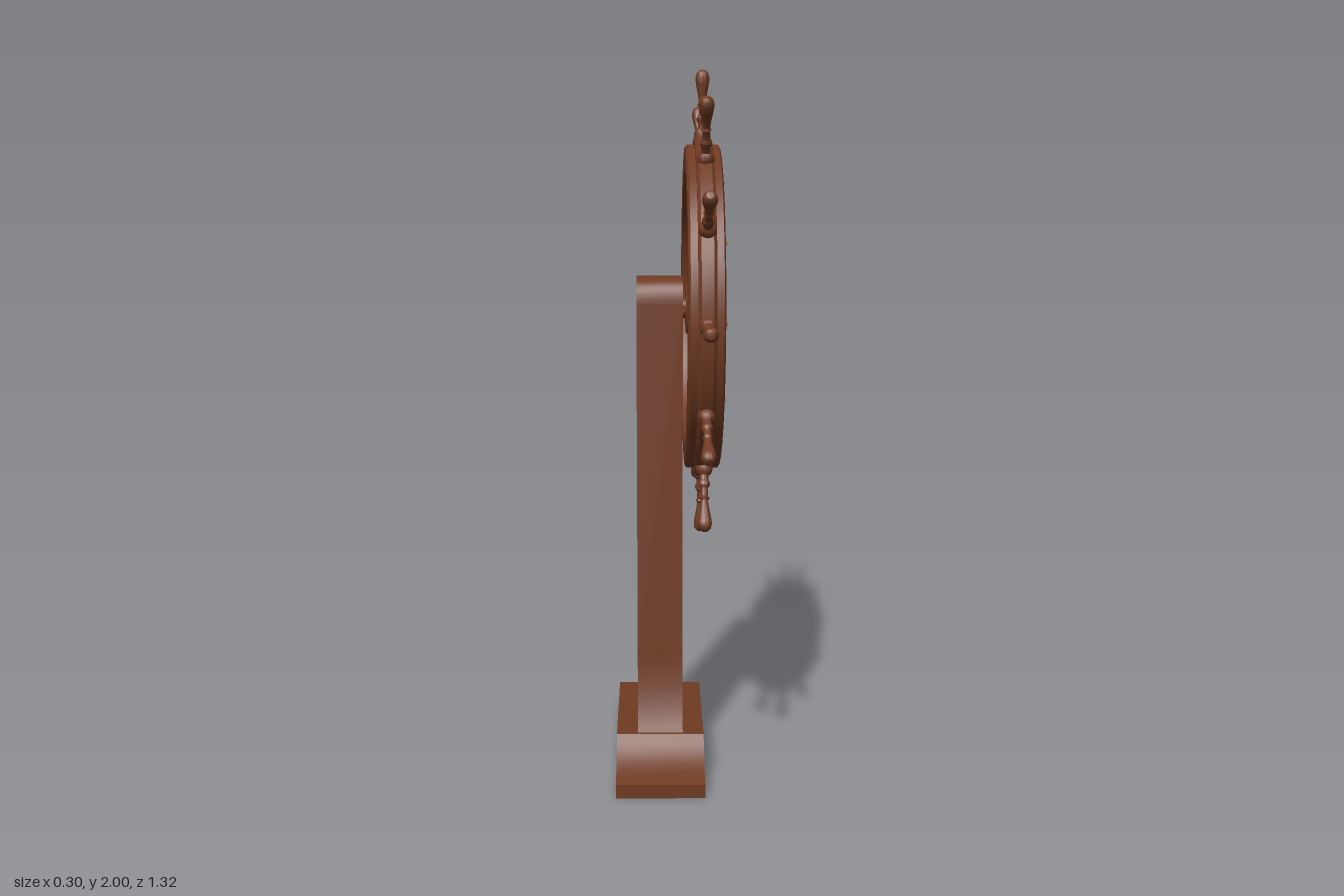
import * as THREE from 'three';
import { toCreasedNormals } from 'three/addons/utils/BufferGeometryUtils.js';

const wood = new THREE.MeshStandardMaterial({ color: 0x6f3a22, side: THREE.DoubleSide });
wood.name = 'wood';
const brass = new THREE.MeshStandardMaterial({ color: 0xb0903c });
brass.name = 'brass';

const SPOKES = 12;

function add(parent, name, geometry, material = wood) {
  const mesh = new THREE.Mesh(geometry, material);
  mesh.name = name;
  parent.add(mesh);
  return mesh;
}

// Turned part: [radius, height] pairs spun around y
function turned(pairs, segments) {
  const points = pairs.map(([r, h]) => new THREE.Vector2(r, h));
  return toCreasedNormals(new THREE.LatheGeometry(points, segments), 0.7);
}

// Turned part whose axis lies along x
function turnedX(pairs, segments) {
  return turned(pairs, segments).rotateZ(-Math.PI / 2);
}

// Side profile in the z-y plane, extruded from x0 to x1
function slab(shape, x0, x1) {
  const g = new THREE.ExtrudeGeometry(shape, { depth: x1 - x0, bevelEnabled: false, curveSegments: 10 });
  g.rotateY(Math.PI / 2).translate(x0, 0, 0);
  return toCreasedNormals(g, 0.5);
}

// Foot with concave shoulders
function footShape() {
  const s = new THREE.Shape();
  s.moveTo(-0.34, 0);
  s.lineTo(0.34, 0);
  s.lineTo(0.34, 0.04);
  s.quadraticCurveTo(0.245, 0.06, 0.2, 0.13);
  s.lineTo(-0.2, 0.13);
  s.quadraticCurveTo(-0.245, 0.06, -0.34, 0.04);
  s.closePath();
  return s;
}

// Tapered post with flared bottom and rounded top
function postShape() {
  const s = new THREE.Shape();
  s.moveTo(-0.19, 0.13);
  s.lineTo(0.19, 0.13);
  s.quadraticCurveTo(0.135, 0.22, 0.127, 0.36);
  s.lineTo(0.09, 1.36);
  s.quadraticCurveTo(0.086, 1.43, 0.025, 1.43);
  s.lineTo(-0.025, 1.43);
  s.quadraticCurveTo(-0.086, 1.43, -0.09, 1.36);
  s.lineTo(-0.127, 0.36);
  s.quadraticCurveTo(-0.135, 0.22, -0.19, 0.13);
  return s;
}

export function createModel() {
  const model = new THREE.Group();
  model.name = 'shipWheel';

  add(model, 'foot', slab(footShape(), -0.15, 0.1));
  add(model, 'post', slab(postShape(), -0.09, 0.04));

  const wheel = new THREE.Group();
  wheel.name = 'wheel';
  wheel.position.set(0.095, 1.34, 0);
  model.add(wheel);

  // Rim with a raised middle band and a stepped inner edge
  add(wheel, 'rim', turnedX([
    [0.385, -0.049], [0.45, -0.049], [0.457, -0.043], [0.457, -0.024],
    [0.472, -0.024], [0.48, -0.016], [0.48, 0.016], [0.472, 0.024],
    [0.457, 0.024], [0.457, 0.043], [0.45, 0.047], [0.44, 0.045],
    [0.36, 0.04], [0.36, -0.03], [0.385, -0.03], [0.385, -0.049],
  ], 72));

  // Panel closing the outer face
  add(wheel, 'facePanel', new THREE.CircleGeometry(0.45, 72).rotateY(Math.PI / 2).translate(0.045, 0, 0));

  // Hub and axle
  add(wheel, 'hub', turnedX([
    [0, -0.045], [0.07, -0.045], [0.08, -0.035], [0.1, -0.03],
    [0.105, -0.02], [0.105, 0.03], [0.09, 0.04], [0, 0.04],
  ], 40));
  add(wheel, 'axle', turnedX([[0, -0.08], [0.03, -0.08], [0.03, 0], [0, 0]], 24));

  const spoke = turned([
    [0.016, 0.09], [0.016, 0.115], [0.024, 0.122], [0.026, 0.132], [0.022, 0.143],
    [0.012, 0.15], [0.012, 0.17], [0.017, 0.178], [0.012, 0.186], [0.011, 0.22],
    [0.016, 0.27], [0.021, 0.305], [0.018, 0.325], [0.011, 0.335], [0.02, 0.343],
    [0.02, 0.37],
  ], 14);
  const handle = turned([
    [0.024, 0.45], [0.024, 0.485], [0.021, 0.495], [0.013, 0.502], [0.012, 0.515],
    [0.016, 0.522], [0.016, 0.53], [0.01, 0.538], [0.01, 0.56], [0.014, 0.566],
    [0.01, 0.573], [0.013, 0.595], [0.018, 0.62], [0.02, 0.637], [0.017, 0.65],
    [0.01, 0.658], [0, 0.661],
  ], 14);
  const stud = new THREE.SphereGeometry(0.009, 10, 6);

  for (let i = 0; i < SPOKES; i++) {
    const arm = new THREE.Group();
    arm.name = 'arm' + (i + 1);
    arm.rotation.x = (i * 2 * Math.PI) / SPOKES;
    wheel.add(arm);
    add(arm, 'spoke', spoke);
    add(arm, 'handle', handle);
    add(arm, 'stud', stud, brass).position.set(0.045, 0.408, 0);
  }
  return model;
}
